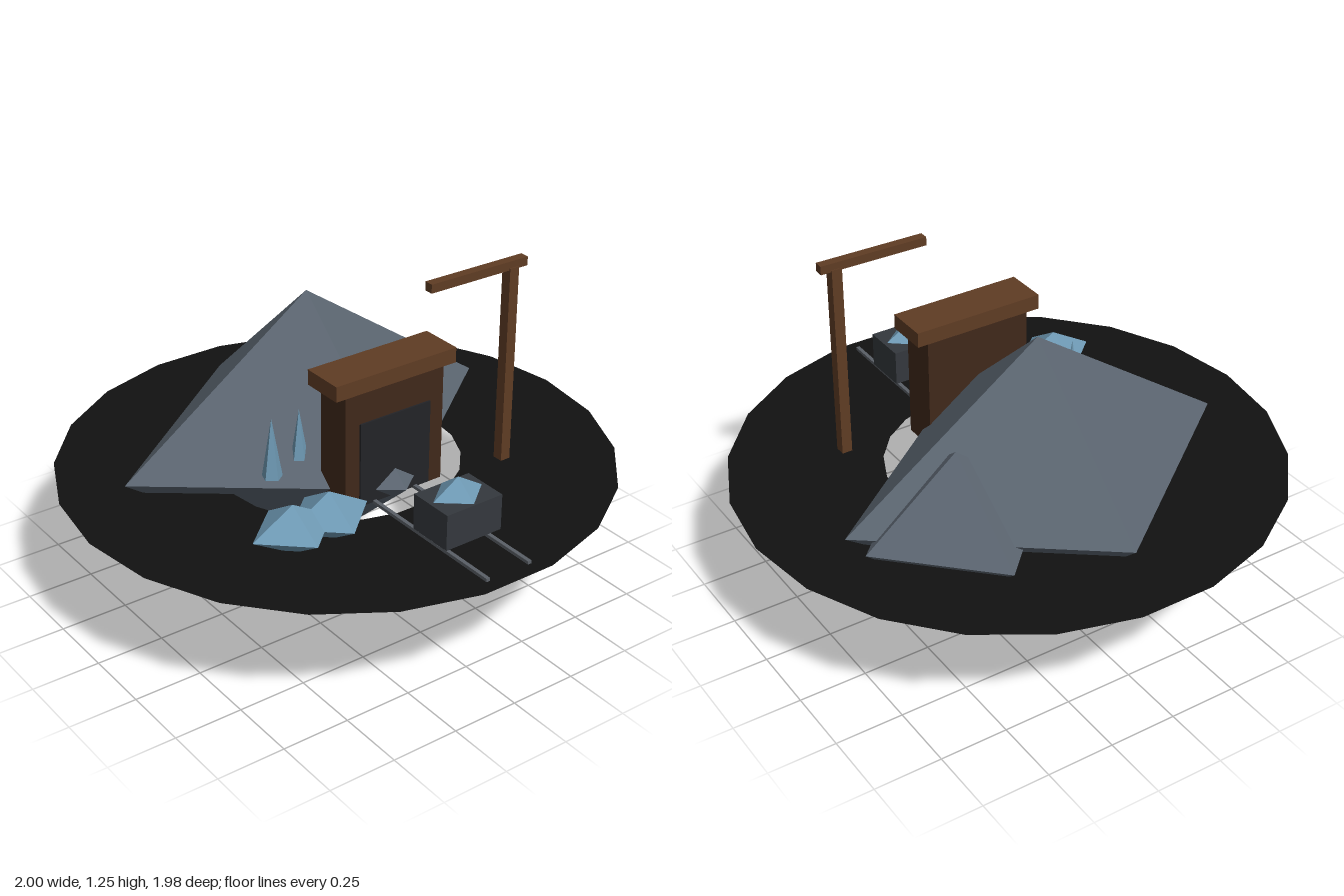
import * as THREE from 'three';

const mat = (color, extra = {}) => new THREE.MeshStandardMaterial({ color, flatShading: true, ...extra });

export function createModel() {
  const model = new THREE.Group();
  model.name = 'mineEntrance';

  const rock = mat(0x5b6570);
  const ore = mat(0x6f9ab5);
  const darkWood = mat(0x40281a);
  const wood = mat(0x5f3c24);
  const iron = mat(0x34383d);
  const railSteel = mat(0x5a5f66);
  const shadow = mat(0x222327);
  const soil = mat(0x111111, { side: THREE.DoubleSide });

  const GROUND = 0.48;

  const add = (name, geometry, material, x, y, z) => {
    const mesh = new THREE.Mesh(geometry, material);
    mesh.name = name;
    mesh.position.set(x, y, z);
    model.add(mesh);
    return mesh;
  };
  // Box given by its extents along each axis
  const box = (name, material, [x0, x1], [y0, y1], [z0, z1]) =>
    add(name, new THREE.BoxGeometry(x1 - x0, y1 - y0, z1 - z0), material,
      (x0 + x1) / 2, (y0 + y1) / 2, (z0 + z1) / 2);
  // Stretched octahedron given by its centre and half sizes
  const gem = (name, material, [x, y, z], [rx, ry, rz]) =>
    add(name, new THREE.OctahedronGeometry(1).scale(rx, ry, rz), material, x, y, z);

  // Flat ground ring
  add('groundRing', new THREE.RingGeometry(0.445, 1, 22).rotateX(-Math.PI / 2), soil, 0, GROUND, 0);

  // Mountain and its side outcrop
  gem('mountain', rock, [0, 0.53, -0.178], [0.76, 0.53, 0.583]);
  gem('outcrop', rock, [0.38, 0.505, -0.265], [0.352, 0.282, 0.352]);

  // Mine gate
  box('gateFrame', darkWood, [-0.205, 0.205], [GROUND, 0.92], [0.195, 0.335]);
  box('gateOpening', shadow, [-0.147, 0.147], [GROUND + 0.005, 0.8], [0.3, 0.342]);
  box('gateLintel', wood, [-0.25, 0.25], [0.917, 0.973], [0.185, 0.345]);

  // Crane
  box('cranePost', wood, [0.449, 0.488], [GROUND, 1.22], [0.335, 0.375]);
  box('craneArm', wood, [0.12, 0.527], [1.213, 1.245], [0.335, 0.369]).rotation.y = -0.02;

  // Rails
  for (const side of [-1, 1]) {
    const x = side * 0.087;
    box('rail', railSteel, [x - 0.007, x + 0.007], [GROUND, GROUND + 0.012], [0.2, 0.94]);
  }

  // Cart with its load
  box('cart', iron, [-0.115, 0.115], [0.513, 0.645], [0.59, 0.762]);
  gem('cartOre', ore, [0, 0.646, 0.673], [0.102, 0.064, 0.083]);

  // Ore pile beside the track
  for (const x of [-0.47, -0.325]) gem('orePile', ore, [x, 0.548, 0.407], [0.157, 0.092, 0.142]);

  // Crystal spikes on the slope
  for (const x of [-0.35, -0.237, -0.122]) {
    add('crystalSpike', new THREE.ConeGeometry(0.037, 0.225, 5), ore, x, 0.677, 0.112);
  }

  return model;
}
